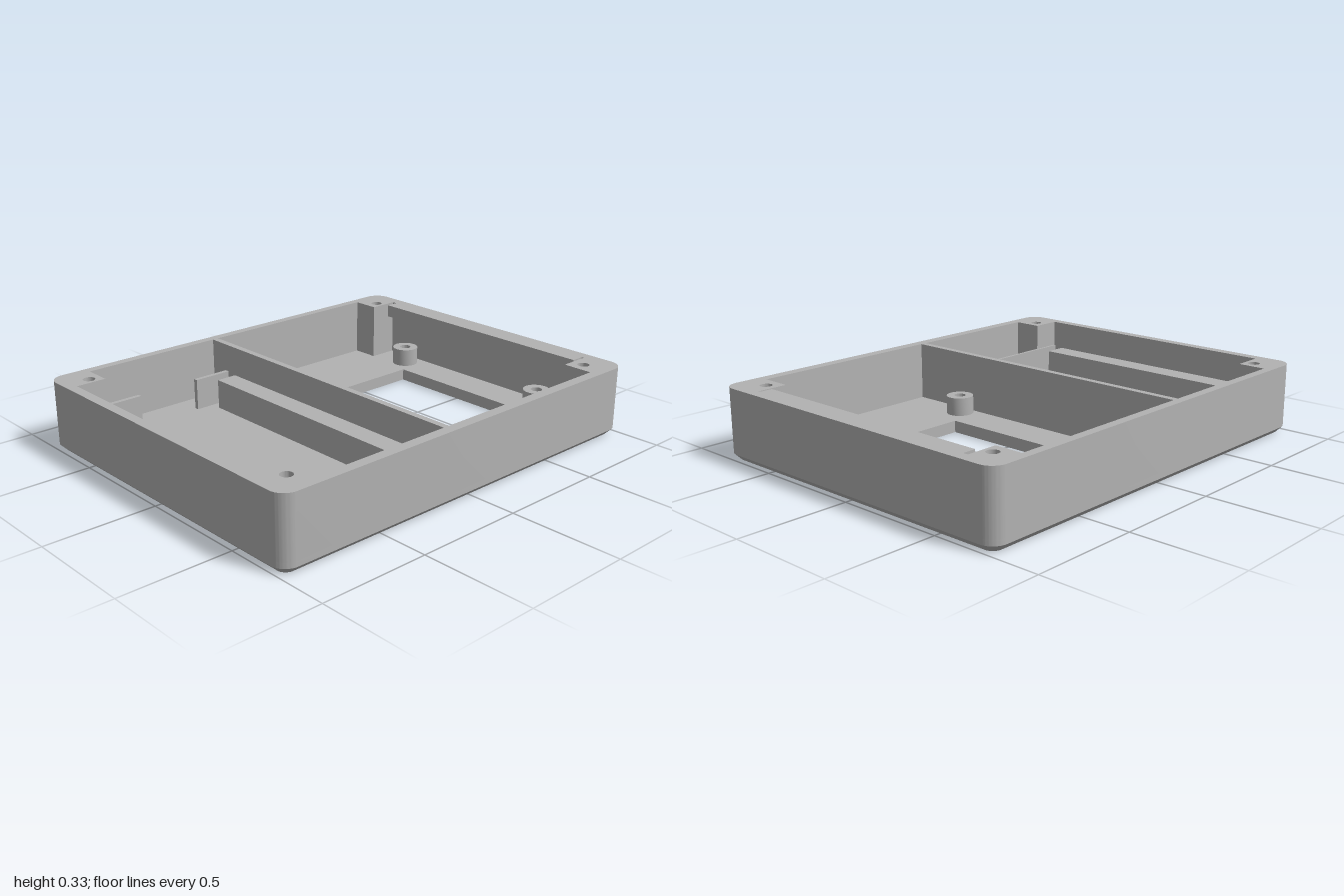
import * as THREE from 'three';
import { toCreasedNormals } from 'three/addons/utils/BufferGeometryUtils.js';

const HX = 1, HZ = 0.795, R = 0.07;          // outer half sizes and corner radius
const CHAMFER = 0.03, FLOOR = 0.055, TOP = 0.325;

// closed path from [x, z] points
function polygon(points) {
  return new THREE.Path(points.map(([x, z]) => new THREE.Vector2(x, -z)));
}

function rectangle(x0, x1, z0, z1) {
  return polygon([[x0, z0], [x1, z0], [x1, z1], [x0, z1]]);
}

function circle(x, z, r) {
  return new THREE.Path().absarc(x, -z, r, 0, Math.PI * 2, true);
}

// rounded outline of the case
function outline(holes) {
  const s = new THREE.Shape();
  const cx = HX - R, cz = HZ - R, q = Math.PI / 2;
  s.absarc(cx, cz, R, 0, q);
  s.absarc(-cx, cz, R, q, 2 * q);
  s.absarc(-cx, -cz, R, 2 * q, 3 * q);
  s.absarc(cx, -cz, R, 3 * q, 4 * q);
  s.holes.push(...holes);
  return s;
}

// upright extrusion between two heights
function slab(shape, y0, y1) {
  const g = new THREE.ExtrudeGeometry(shape, { depth: y1 - y0, bevelEnabled: false, curveSegments: 12 });
  return g.rotateX(-Math.PI / 2).translate(0, y0, 0);
}

export function createModel() {
  const group = new THREE.Group();
  const grey = new THREE.MeshStandardMaterial({ color: 0xb2b2b2 });
  grey.name = 'grey plastic';

  const add = (name, geometry) => {
    const mesh = new THREE.Mesh(toCreasedNormals(geometry, 0.5), grey);
    mesh.name = name;
    group.add(mesh);
  };
  const box = (name, x0, x1, y0, y1, z0, z1) => {
    const g = new THREE.BoxGeometry(x1 - x0, y1 - y0, z1 - z0);
    add(name, g.translate((x0 + x1) / 2, (y0 + y1) / 2, (z0 + z1) / 2));
  };

  // floor with the square window, its lower edge drawn in to a chamfer
  const opening = () => rectangle(0.07, 0.775, -0.37, 0.335);
  const base = slab(outline([opening()]), 0, CHAMFER);
  const p = base.attributes.position;
  const shrink = (R - CHAMFER) / R;
  for (let i = 0; i < p.count; i++) {
    if (p.getY(i) > 0.001) continue;
    const x = p.getX(i), z = p.getZ(i);
    const cx = THREE.MathUtils.clamp(x, R - HX, HX - R);
    const cz = THREE.MathUtils.clamp(z, R - HZ, HZ - R);
    p.setX(i, cx + (x - cx) * shrink);
    p.setZ(i, cz + (z - cz) * shrink);
  }
  add('chamferedBase', base);
  add('floor', slab(outline([opening()]), CHAMFER, FLOOR));

  // walls, divider and corner blocks around the two compartments
  const leftBay = polygon([
    [-0.815, -0.755], [-0.14, -0.755], [-0.14, 0.747], [-0.815, 0.747],
    [-0.815, 0.608], [-0.955, 0.608], [-0.955, -0.627], [-0.815, -0.627],
  ]);
  const rightBay = polygon([
    [-0.11, -0.755], [0.81, -0.755], [0.81, -0.627], [0.95, -0.627],
    [0.95, 0.608], [0.81, 0.608], [0.81, 0.747], [-0.11, 0.747],
  ]);
  const screwHoles = [];
  for (const x of [-0.87, 0.87]) for (const z of [-0.67, 0.665]) screwHoles.push(circle(x, z, 0.027));
  add('walls', slab(outline([leftBay, rightBay, ...screwHoles]), FLOOR, TOP));

  // overhanging lip along the side wall
  box('wallLip', 0.89, 0.95, 0.265, TOP, -0.603, 0.597);

  // rails and retaining plates of the narrow compartment
  box('outerRail', -0.945, -0.84, FLOOR, 0.193, -0.577, 0.548);
  box('innerRail', -0.25, -0.15, FLOOR, 0.193, -0.577, 0.548);
  box('backTabOuter', -0.815, -0.64, FLOOR, 0.2, -0.648, -0.627);
  box('backTabInner', -0.335, -0.15, FLOOR, 0.2, -0.648, -0.627);
  box('frontPlate', -0.95, -0.15, FLOOR, 0.2, 0.596, 0.61);

  // hollow mounting posts around the window
  for (const x of [-0.045, 0.865]) {
    for (const z of [-0.447, 0.417]) {
      const ring = new THREE.Shape().absarc(x, -z, 0.063, 0, Math.PI * 2);
      ring.holes.push(circle(x, z, 0.027));
      add('mountingPost', slab(ring, FLOOR, 0.14));
    }
  }
  return group;
}
